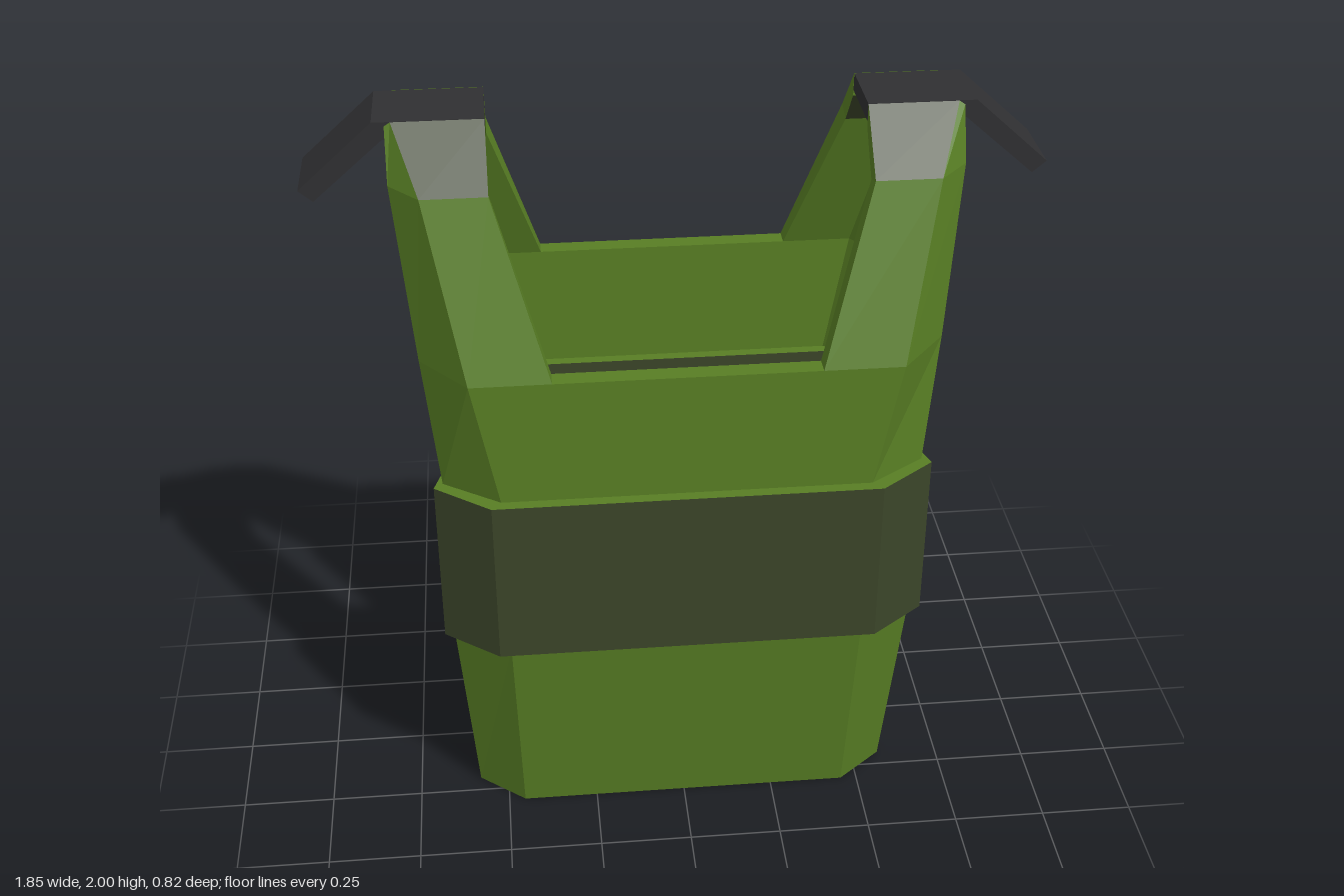
import * as THREE from 'three';

const green = new THREE.MeshStandardMaterial({ color: 0x587e24 });
green.name = 'green cloth';
const olive = new THREE.MeshStandardMaterial({ color: 0x3b4529 });
olive.name = 'dark olive cloth';
const black = new THREE.MeshStandardMaterial({ color: 0x303032 });
black.name = 'black pad';

// Skins a stack of equal loops (counter-clockwise from above). Each loop holds
// the outer points, then the inner ones backwards, so caps are strips of quads.
// pick(row, segment) gives the material; row -1 and rows.length - 1 are the caps.
function loft(name, rows, materials, pick) {
  const buckets = materials.map(() => []);
  const n = rows[0].length, last = rows.length - 1;
  const quad = (m, a, b, c, d) => buckets[m].push(...a, ...b, ...c, ...a, ...c, ...d);
  for (let r = 0; r < last; r++) {
    for (let i = 0; i < n; i++) {
      const j = (i + 1) % n;
      quad(pick(r, i), rows[r][i], rows[r][j], rows[r + 1][j], rows[r + 1][i]);
    }
  }
  for (let i = 0; i < n / 2 - 1; i++) {
    const ids = [i, i + 1, n - 2 - i, n - 1 - i];
    quad(pick(last, i), ...ids.map((k) => rows[last][k]));
    quad(pick(-1, i), ...ids.reverse().map((k) => rows[0][k]));
  }
  const geo = new THREE.BufferGeometry();
  let start = 0;
  buckets.forEach((b, m) => {
    geo.addGroup(start, b.length / 3, m);
    start += b.length / 3;
  });
  geo.setAttribute('position', new THREE.Float32BufferAttribute(buckets.flat(), 3));
  geo.computeVertexNormals();
  const mesh = new THREE.Mesh(geo, materials);
  mesh.name = name;
  return mesh;
}

// Full-width plate section from its +x half: outer crease, outer edge, inner edge, inner crease
function section(y, co, eo, ei, ci) {
  const p = ([x, z]) => [x, y, z], m = ([x, z]) => [-x, y, z];
  return [m(eo), m(co), p(co), p(eo), p(ei), p(ci), m(ci), m(ei)];
}

// Body plate, ending at the neckline
const bodyRows = [
  section(0, [0.455, 0.30], [0.58, 0.20], [0.56, 0.155], [0.44, 0.25]),
  section(0.61, [0.47, 0.378], [0.622, 0.268], [0.60, 0.215], [0.455, 0.325]),
  section(1.08, [0.475, 0.38], [0.622, 0.28], [0.605, 0.23], [0.46, 0.33]),
  section(1.42, [0.54, 0.38], [0.66, 0.235], [0.64, 0.165], [0.52, 0.33]),
];

// Band wrapped around the plate
const bandLine = [[0.5, 0.41], [0.645, 0.30], [0.615, 0.203], [0.46, 0.30]];
const bandRows = [section(0.61, ...bandLine), section(1.08, ...bandLine)];

// Shoulder strap: neck side, crease, edge on the outside, then back along the inside
const strapRows = [
  [[0.335, 1.42, 0.38], [0.54, 1.42, 0.38], [0.66, 1.42, 0.235],
    [0.64, 1.42, 0.165], [0.52, 1.42, 0.33], [0.335, 1.42, 0.33]],
  [[0.465, 1.86, 0.24], [0.63, 1.86, 0.24], [0.705, 1.86, 0.155],
    [0.685, 1.82, 0.10], [0.60, 1.84, 0.185], [0.465, 1.84, 0.185]],
  [[0.465, 2.0, 0.10], [0.69, 2.0, 0.10], [0.705, 1.99, 0.10],
    [0.69, 1.94, 0.10], [0.66, 1.94, 0.10], [0.465, 1.94, 0.10]],
];

function strap(name, side, patched) {
  const rows = side > 0 ? strapRows
    : strapRows.map((row) => row.map(([x, y, z]) => [-x, y, z]).reverse());
  // The flat faces of the upper piece carry the dark patch
  return loft(name, rows, [green, olive],
    (r, i) => (patched && r === 1 && (i === 0 || i === 4) ? 1 : 0));
}

function panel(name, leftPatched) {
  const g = new THREE.Group();
  g.name = name;
  g.add(loft('plate', bodyRows, [green], () => 0));
  g.add(loft('band', bandRows, [green, olive], (r) => (r === 0 ? 1 : 0)));
  g.add(strap('strapA', 1, leftPatched), strap('strapB', -1, true));
  return g;
}

// Bent pad lying over the shoulder and hanging outwards
function shoulderPad(name, side) {
  const pts = [[0.465, 1.955], [0.712, 1.955], [0.89, 1.80], [0.925, 1.83], [0.735, 2.0], [0.465, 2.0]];
  const shape = new THREE.Shape(pts.map(([x, y]) => new THREE.Vector2(side * x, y)));
  const geo = new THREE.ExtrudeGeometry(shape, { depth: 0.196, bevelEnabled: false });
  geo.translate(0, 0, -0.098);
  const mesh = new THREE.Mesh(geo, black);
  mesh.name = name;
  return mesh;
}

export function createModel() {
  const model = new THREE.Group();
  model.name = 'vest';
  const back = panel('backPanel', false);
  back.rotation.y = Math.PI;
  model.add(panel('frontPanel', true), back);
  model.add(shoulderPad('leftShoulderPad', 1), shoulderPad('rightShoulderPad', -1));
  return model;
}
